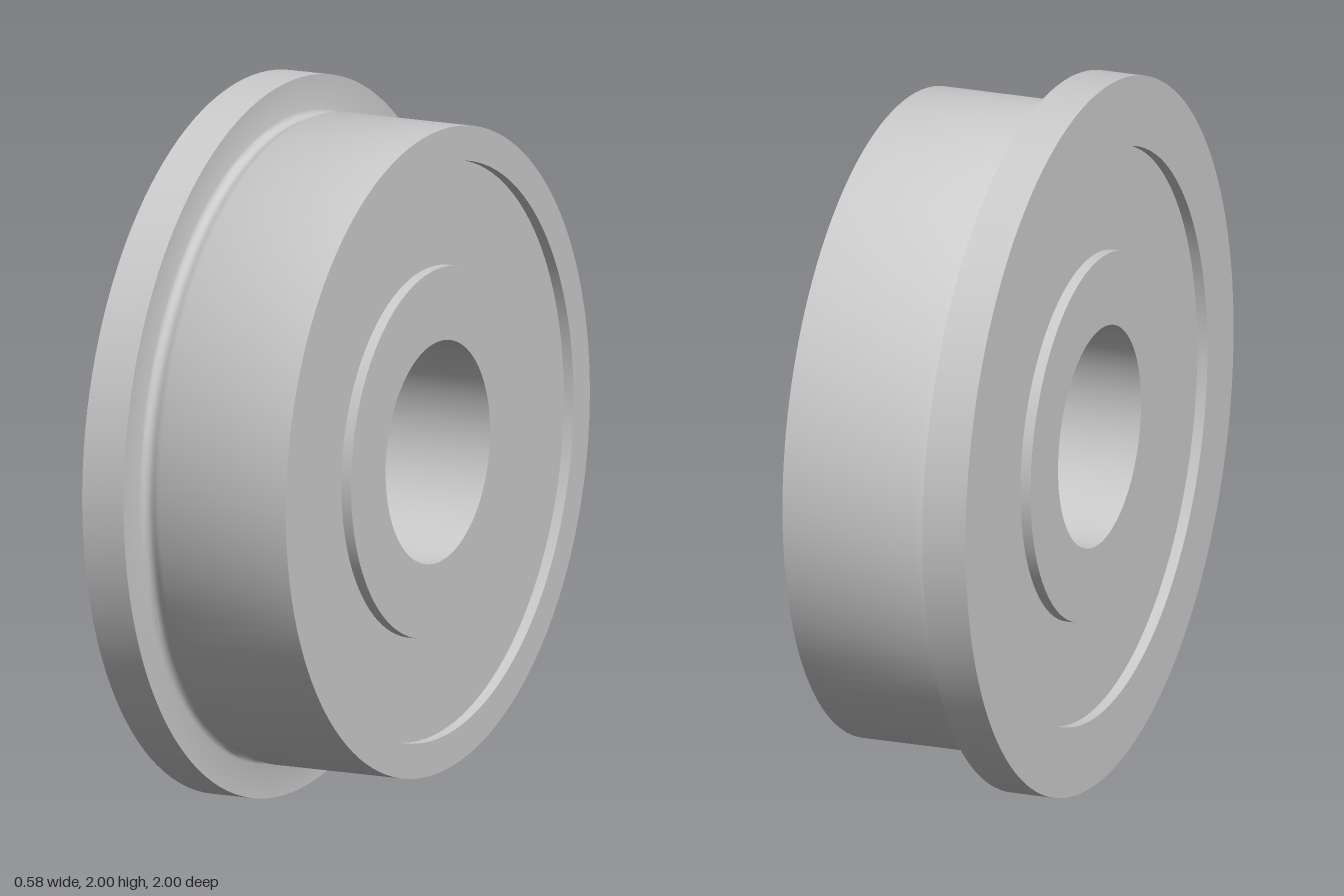
import * as THREE from 'three';
import { toCreasedNormals } from 'three/addons/utils/BufferGeometryUtils.js';

const HALF = 0.29;      // half the width along the axle
const RECESS = 0.03;    // how far the shields sit below the end faces
const BORE = 0.31, INNER = 0.515, OUTER = 0.805, BODY = 0.902, FLANGE = 1;

export function createModel() {
  const group = new THREE.Group();
  const material = new THREE.MeshStandardMaterial({ color: 0xcccccc });

  // Turns a closed [radius, x] profile around the axle
  function turned(name, profile) {
    const points = [...profile, profile[0]].map(([r, x]) => new THREE.Vector2(r, x));
    const geometry = toCreasedNormals(new THREE.LatheGeometry(points, 128), 0.6);
    geometry.rotateZ(-Math.PI / 2);
    geometry.translate(0, 1, 0);
    const mesh = new THREE.Mesh(geometry, material);
    mesh.name = name;
    group.add(mesh);
  }

  const tube = (r0, r1, x0, x1) => [[r0, x0], [r1, x0], [r1, x1], [r0, x1]];

  // Outer ring with flange and a shallow relief groove beside it
  turned('outerRing', [
    [OUTER, -HALF], [FLANGE, -HALF], [FLANGE, -0.162],
    [0.905, -0.162], [0.896, -0.159], [0.889, -0.152], [0.886, -0.143],
    [0.887, -0.135], [0.891, -0.124], [BODY, -0.103],
    [BODY, HALF], [OUTER, HALF],
  ]);

  // Inner ring around the bore
  turned('innerRing', tube(BORE, INNER, -HALF, HALF));

  // Recessed shields closing the gap on both sides
  const face = HALF - RECESS;
  turned('rightShield', tube(INNER, OUTER, -face, -face + 0.04));
  turned('leftShield', tube(INNER, OUTER, face - 0.04, face));

  return group;
}
